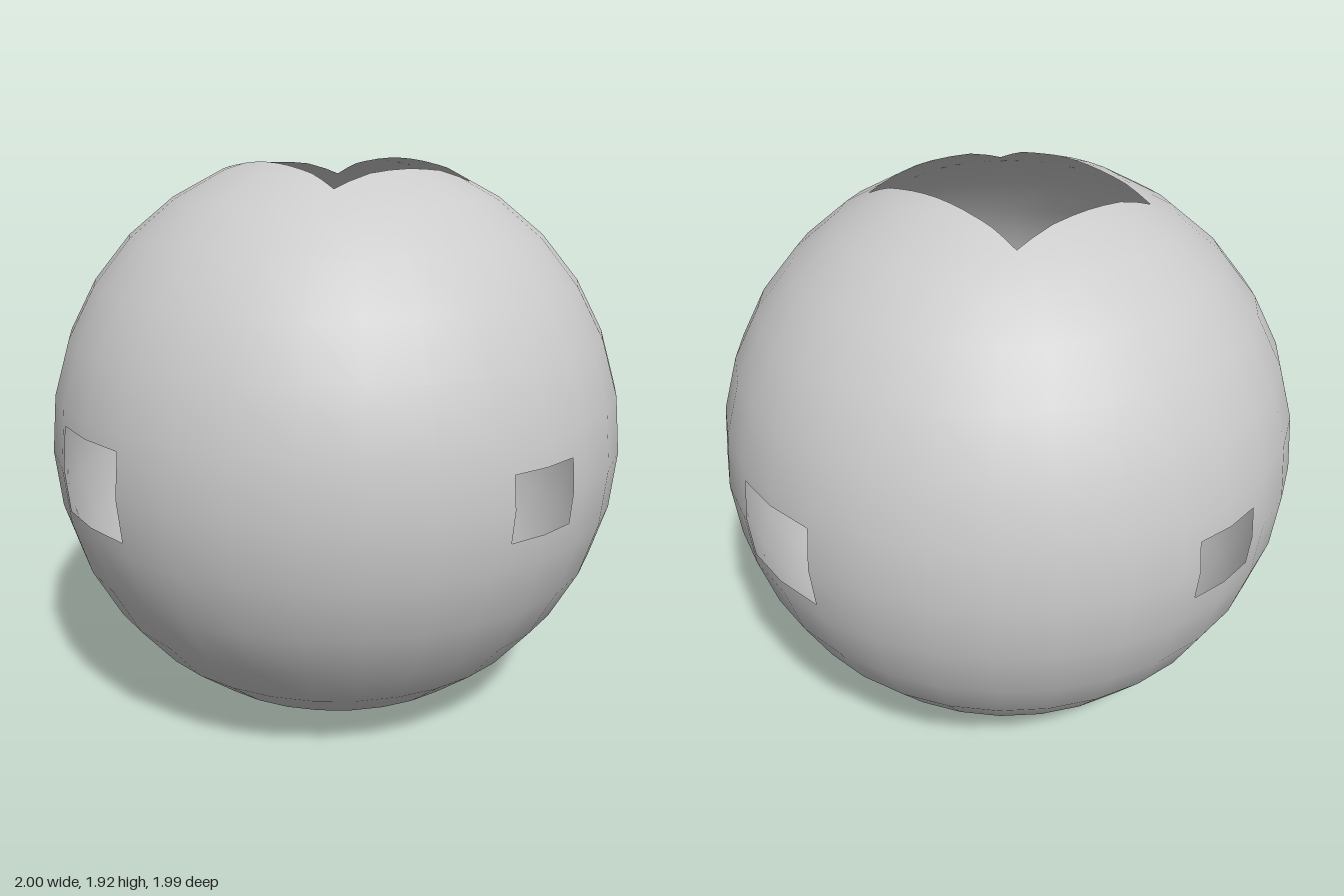
import * as THREE from 'three';

const RADIUS = 1.01;
const CENTRE_Y = 0.962;

// Rectangular tunnels through the centre: half extents across two axes, open along the third.
const TUNNELS = [
  { x: 0.355, z: 0.295 }, // top and bottom
  { x: 0.175, y: 0.146 }, // front and back
  { z: 0.13, y: 0.107 },  // left and right
];

// Part of a convex polygon where sign * (p[axis] * side - limit) >= 0.
function clip(poly, axis, side, limit, sign) {
  const dist = (p) => sign * (p[axis] * side - limit);
  const out = [];
  poly.forEach((a, i) => {
    const b = poly[(i + 1) % poly.length];
    const da = dist(a), db = dist(b);
    if (da >= 0) out.push(a);
    if (da * db < 0) out.push(a.clone().lerp(b, da / (da - db)));
  });
  return out.length > 2 ? out : [];
}

// Pieces of a polygon that lie outside a tunnel.
function cutTunnel(poly, tunnel) {
  const pieces = [];
  let rest = poly;
  for (const [axis, limit] of Object.entries(tunnel)) {
    for (const side of [1, -1]) {
      const outside = clip(rest, axis, side, limit, 1);
      if (outside.length) pieces.push(outside);
      rest = clip(rest, axis, side, limit, -1);
      if (!rest.length) return [poly]; // tunnel misses this face
    }
  }
  return pieces;
}

// Sphere faces with the tunnels cut away, keeping smooth radial normals.
function createShellGeometry() {
  const sphere = new THREE.SphereGeometry(RADIUS, 32, 16).toNonIndexed();
  const source = sphere.getAttribute('position');
  const positions = [], normals = [];
  for (let i = 0; i < source.count; i += 3) {
    const face = [0, 1, 2].map((k) => new THREE.Vector3().fromBufferAttribute(source, i + k));
    let pieces = [face];
    for (const tunnel of TUNNELS) pieces = pieces.flatMap((p) => cutTunnel(p, tunnel));
    for (const p of pieces) {
      for (let k = 1; k < p.length - 1; k++) {
        for (const v of [p[0], p[k], p[k + 1]]) {
          positions.push(v.x, v.y, v.z);
          normals.push(...v.clone().normalize().toArray());
        }
      }
    }
  }
  const geometry = new THREE.BufferGeometry();
  geometry.setAttribute('position', new THREE.Float32BufferAttribute(positions, 3));
  geometry.setAttribute('normal', new THREE.Float32BufferAttribute(normals, 3));
  return geometry;
}

export function createModel() {
  const group = new THREE.Group();
  group.name = 'hollowSphere';

  // Thin open shell, visible from inside through the openings
  const shell = new THREE.Mesh(
    createShellGeometry(),
    new THREE.MeshStandardMaterial({ color: 0xcccccc, side: THREE.DoubleSide })
  );
  shell.name = 'shell';
  shell.position.y = CENTRE_Y;
  group.add(shell);
  return group;
}
